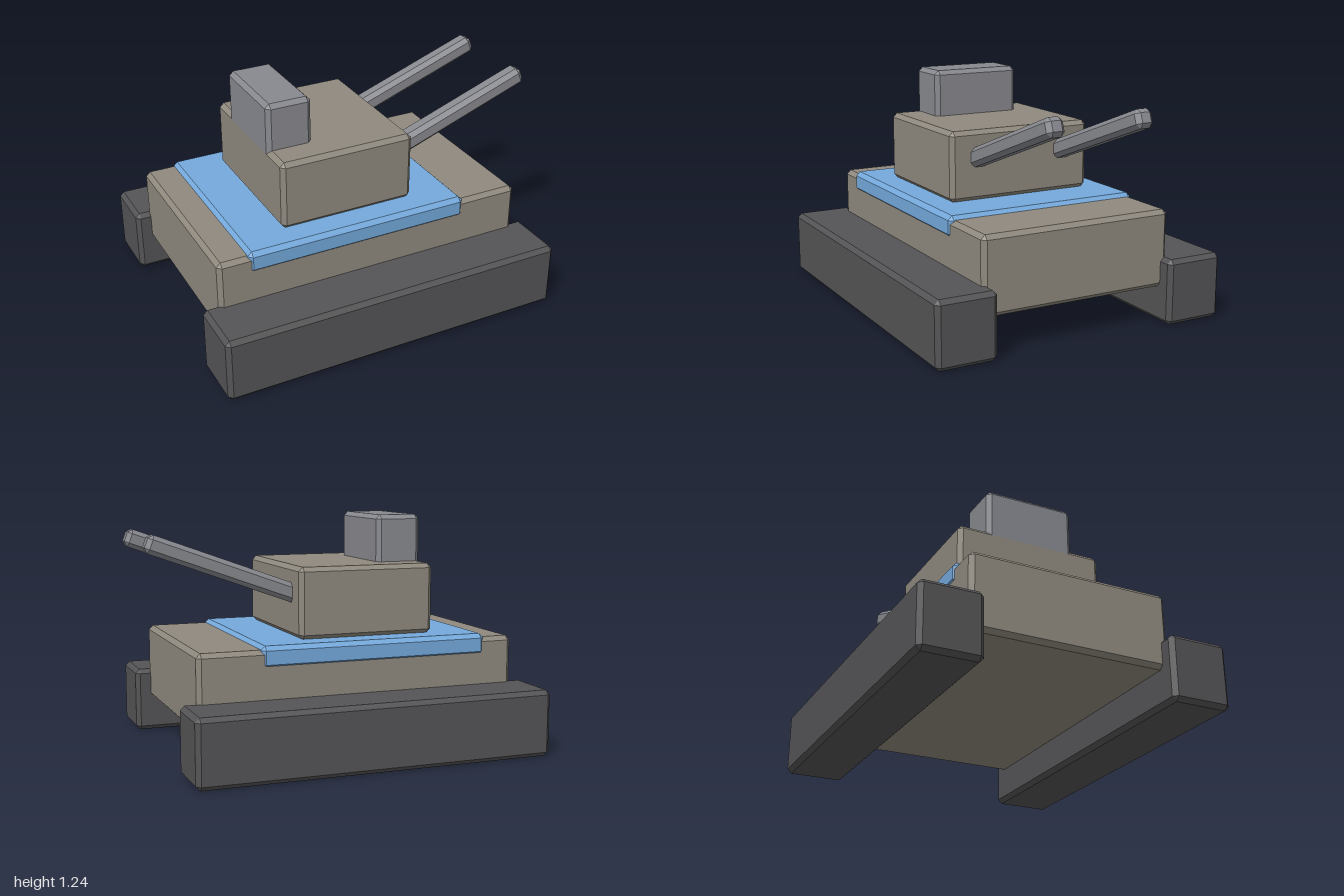
import * as THREE from 'three';
import { ConvexGeometry } from 'three/addons/geometries/ConvexGeometry.js';

const BEVEL = 0.023;

const paint = (color) => new THREE.MeshStandardMaterial({ color, flatShading: true });
const hullPaint = paint(0x8f897e);
const trackPaint = paint(0x545456);
const deckPaint = paint(0x74a9dc);
const metalPaint = paint(0x88898f);

// Box with every edge and corner cut flat
function chamferBox(w, h, d, c = BEVEL) {
  const points = [];
  for (const sx of [-1, 1]) for (const sy of [-1, 1]) for (const sz of [-1, 1]) {
    for (let axis = 0; axis < 3; axis++) {
      const half = [w / 2 - c, h / 2 - c, d / 2 - c];
      half[axis] += c;
      points.push(new THREE.Vector3(sx * half[0], sy * half[1], sz * half[2]));
    }
  }
  return new ConvexGeometry(points);
}

// Chamfered block given by its limits on each axis
function block(name, material, [x0, x1], [y0, y1], [z0, z1]) {
  const mesh = new THREE.Mesh(chamferBox(x1 - x0, y1 - y0, z1 - z0), material);
  mesh.position.set((x0 + x1) / 2, (y0 + y1) / 2, (z0 + z1) / 2);
  mesh.name = name;
  return mesh;
}

export function createModel() {
  const model = new THREE.Group();
  model.name = 'tank';

  // Hull, deck plate, turret and hatch tower
  model.add(
    block('hull', hullPaint, [-0.918, 0.812], [0.19, 0.6], [-0.54, 0.54]),
    block('deckPlate', deckPaint, [-0.755, 0.483], [0.503, 0.62], [-0.547, 0.547]),
    block('turret', hullPaint, [-0.51, 0.235], [0.618, 0.99], [-0.413, 0.413]),
    block('turretTower', metalPaint, [-0.51, -0.262], [0.9, 1.24], [-0.25, 0.25]),
  );

  // Tracks
  model.add(
    block('leftTrack', trackPaint, [-1, 0.895], [0, 0.35], [0.498, 0.826]),
    block('rightTrack', trackPaint, [-1, 0.895], [0, 0.35], [-0.826, -0.498]),
  );

  // Twin raised gun barrels, pointing along +x
  const length = 0.95;
  const pitch = THREE.MathUtils.degToRad(20);
  const barrelGeometry = chamferBox(length, 0.098, 0.098);
  for (const side of [1, -1]) {
    const barrel = new THREE.Mesh(barrelGeometry, metalPaint);
    barrel.name = side > 0 ? 'leftBarrel' : 'rightBarrel';
    barrel.rotation.z = pitch;
    barrel.position.set(
      0.99 - (length / 2) * Math.cos(pitch),
      1.125 - (length / 2) * Math.sin(pitch),
      side * 0.25,
    );
    model.add(barrel);
  }
  return model;
}
